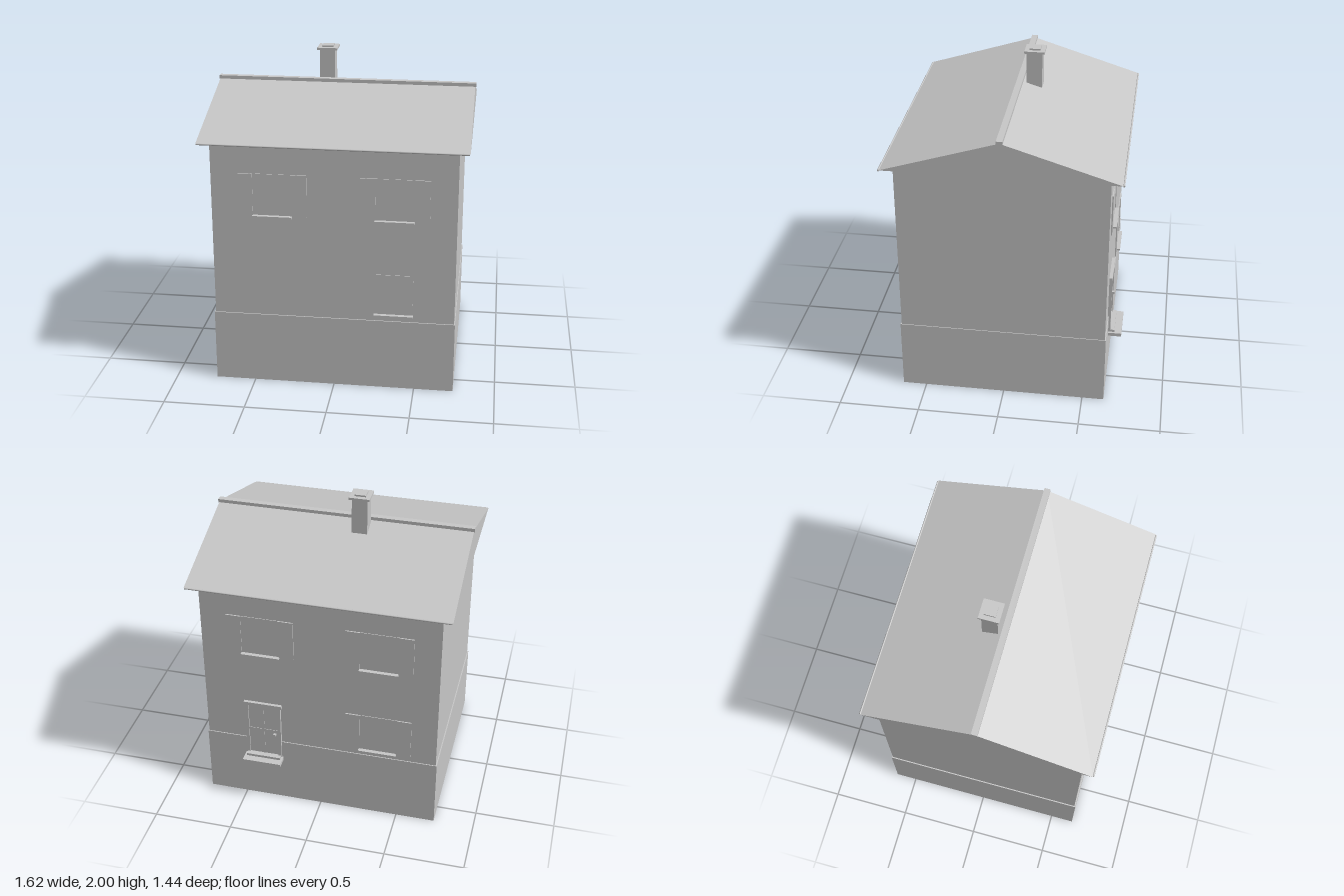
import * as THREE from 'three';

export function createModel() {
  const house = new THREE.Group();
  house.name = 'house';
  const grey = new THREE.MeshStandardMaterial({ color: 0xc8c8c8 });
  grey.name = 'plain grey';

  // Box given by its bounds on each axis
  const box = (name, [x0, x1], [y0, y1], [z0, z1], parent = house) => {
    const m = new THREE.Mesh(new THREE.BoxGeometry(x1 - x0, y1 - y0, z1 - z0), grey);
    m.name = name;
    m.position.set((x0 + x1) / 2, (y0 + y1) / 2, (z0 + z1) / 2);
    parent.add(m);
    return m;
  };

  // Walls and plinth
  box('plinth', [-0.747, 0.743], [0, 0.455], [-0.635, 0.648]);
  box('walls', [-0.74, 0.738], [0.455, 1.57], [-0.629, 0.641]);

  // Gabled roof as a closed prism, with ridge cap and gutters
  const gable = new THREE.Shape([
    new THREE.Vector2(-0.71, 1.57), new THREE.Vector2(0.7, 1.57), new THREE.Vector2(-0.005, 1.79),
  ]);
  const roof = new THREE.Mesh(
    new THREE.ExtrudeGeometry(gable, { depth: 1.605, bevelEnabled: false }), grey);
  roof.name = 'roof';
  roof.rotation.y = Math.PI / 2;
  roof.position.x = -0.805;
  house.add(roof);
  box('ridgeCap', [-0.81, 0.806], [1.782, 1.805], [-0.014, 0.024]);
  for (const z of [0.712, -0.702]) {
    const gutter = new THREE.Mesh(new THREE.CylinderGeometry(0.006, 0.006, 1.595, 12), grey);
    gutter.name = 'gutter';
    gutter.rotation.z = Math.PI / 2;
    gutter.position.set(-0.003, 1.567, z);
    house.add(gutter);
  }

  // Chimney
  box('chimneyStack', [-0.176, -0.08], [1.6, 1.978], [-0.131, -0.033]);
  box('chimneyCap', [-0.191, -0.065], [1.976, 1.99], [-0.146, -0.02]);
  box('chimneyPot', [-0.163, -0.093], [1.988, 2], [-0.118, -0.048]);

  // Window with sill and optional shutters, built facing +z
  const addWindow = (x, y, back, shutters) => {
    const g = new THREE.Group();
    g.name = 'window';
    box('pane', [-0.117, 0.117], [0, 0.265], [-0.004, 0.004], g);
    box('sill', [-0.12, 0.12], [-0.005, 0.005], [-0.004, 0.029], g);
    if (shutters) {
      for (const s of [-1, 1]) {
        const c = s * 0.163;
        box('shutter', [c - 0.046, c + 0.046], [0, 0.265], [-0.004, 0.008], g);
      }
    }
    g.position.set(x, y, back ? -0.629 : 0.641);
    if (back) g.rotation.y = Math.PI;
    house.add(g);
  };
  addWindow(-0.37, 1.11, false, true);
  addWindow(0.367, 1.11, false, true);
  addWindow(0.367, 0.497, false, false);
  addWindow(0.367, 1.11, true, true);
  addWindow(-0.37, 1.11, true, true);
  addWindow(-0.37, 0.497, true, true);

  // Back door with frame, panels, handle and steps
  const door = new THREE.Group();
  door.name = 'door';
  box('leaf', [-0.1, 0.1], [0.34, 0.73], [-0.01, 0.01], door);
  for (const s of [-1, 1]) {
    const c = s * 0.104;
    box('jamb', [c - 0.011, c + 0.011], [0.34, 0.73], [-0.01, 0.019], door);
  }
  box('lintel', [-0.122, 0.122], [0.722, 0.745], [-0.01, 0.02], door);
  box('midRail', [-0.094, 0.094], [0.53, 0.545], [0, 0.013], door);
  box('centreStile', [-0.006, 0.006], [0.35, 0.722], [0, 0.013], door);
  box('handle', [0.066, 0.082], [0.505, 0.52], [0, 0.028], door);
  box('upperStep', [-0.11, 0.11], [0.33, 0.35], [0, 0.045], door);
  box('lowerStep', [-0.124, 0.124], [0.312, 0.334], [0, 0.09], door);
  door.position.set(0.367, 0, -0.629);
  door.rotation.y = Math.PI;
  house.add(door);

  return house;
}
